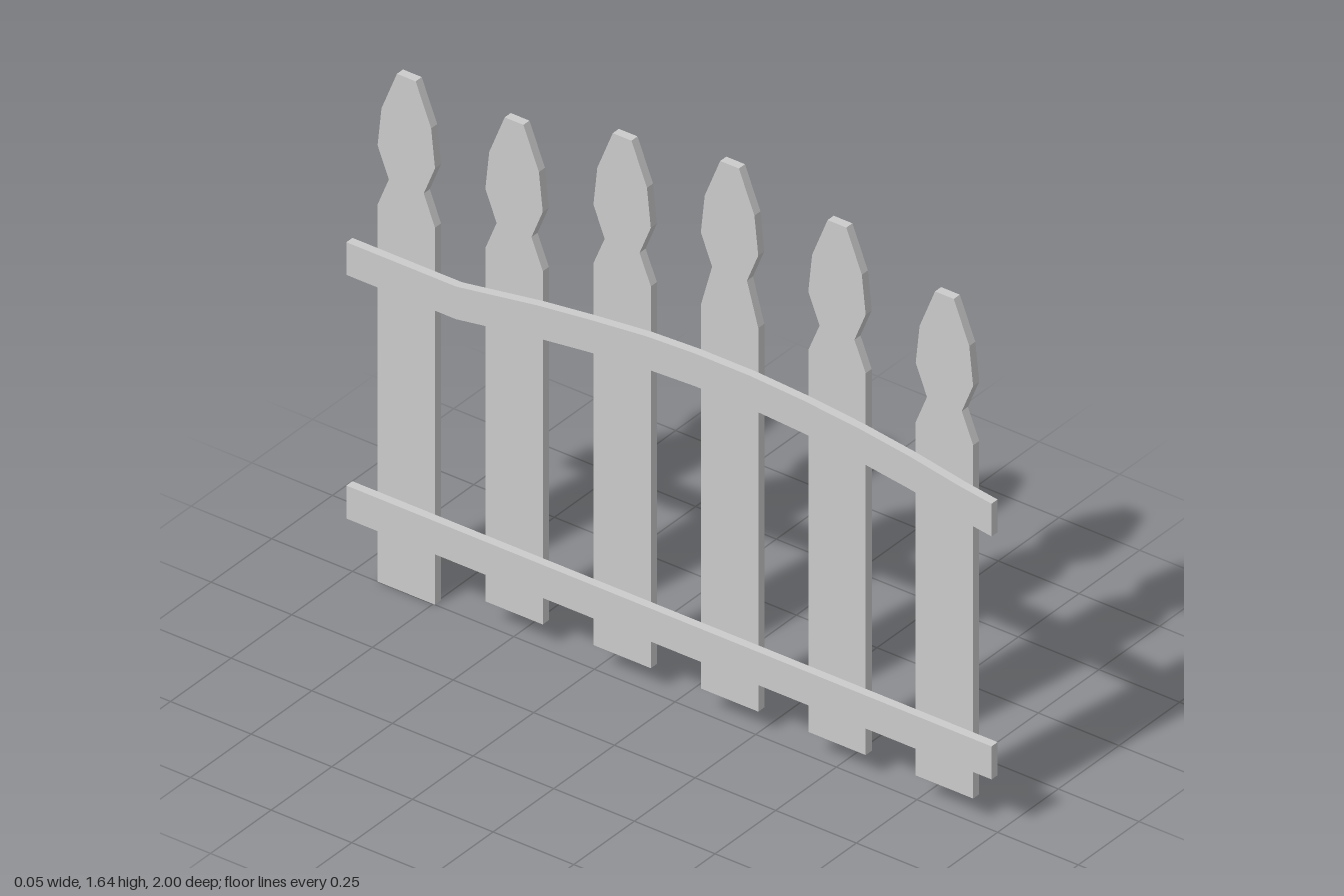
import * as THREE from 'three';

const THICK = 0.025;

// Extrudes a [z, y] outline along x, starting at x0
function board(name, points, x0) {
  const shape = new THREE.Shape(points.map(([z, y]) => new THREE.Vector2(-z, y)));
  const geometry = new THREE.ExtrudeGeometry(shape, { depth: THICK, bevelEnabled: false });
  geometry.rotateY(Math.PI / 2).translate(x0, 0, 0);
  const material = new THREE.MeshStandardMaterial({ color: 0xcccccc, flatShading: true });
  const mesh = new THREE.Mesh(geometry, material);
  mesh.name = name;
  return mesh;
}

// Picket with a necked, tapered head
function picket(z, bottom, shoulder, top) {
  const half = [
    [0.089, bottom], [0.089, shoulder], [0.054, top - 0.32],
    [0.089, top - 0.233], [0.077, top - 0.12], [0.029, top],
  ];
  const right = half.map(([w, y]) => [z - w, y]);
  const left = half.map(([w, y]) => [z + w, y]).reverse();
  return board('picket', [...right, ...left], 0);
}

// Rail of constant height below a [z, y] top edge
function rail(name, topEdge, height) {
  const lower = topEdge.map(([z, y]) => [z, y - height]).reverse();
  return board(name, [...topEdge, ...lower], -THICK);
}

export function createModel() {
  const fence = new THREE.Group();
  fence.name = 'picketFence';

  // Pickets: z, bottom, shoulder, top
  const pickets = [
    [0.835, 0.07, 1.108, 1.515],
    [0.502, 0.07, 1.192, 1.597],
    [0.169, 0.07, 1.197, 1.643],
    [-0.164, 0.07, 1.192, 1.597],
    [-0.499, 0.07, 1.108, 1.515],
    [-0.833, 0, 1.108, 1.515],
  ];
  for (const p of pickets) fence.add(picket(...p));

  // Straight lower rail and arched upper rail
  fence.add(rail('lowerRail', [[1, 0.265], [-1, 0.265]], 0.097));
  fence.add(rail('upperRail', [
    [1, 0.978], [0.9, 0.992], [0.745, 1.02], [0.585, 1.042], [0.415, 1.058], [0.25, 1.067],
    [0.08, 1.067], [-0.07, 1.06], [-0.25, 1.041], [-0.41, 1.021], [-0.58, 0.993],
    [-0.66, 0.98], [-1, 0.98],
  ], 0.096));

  return fence;
}
